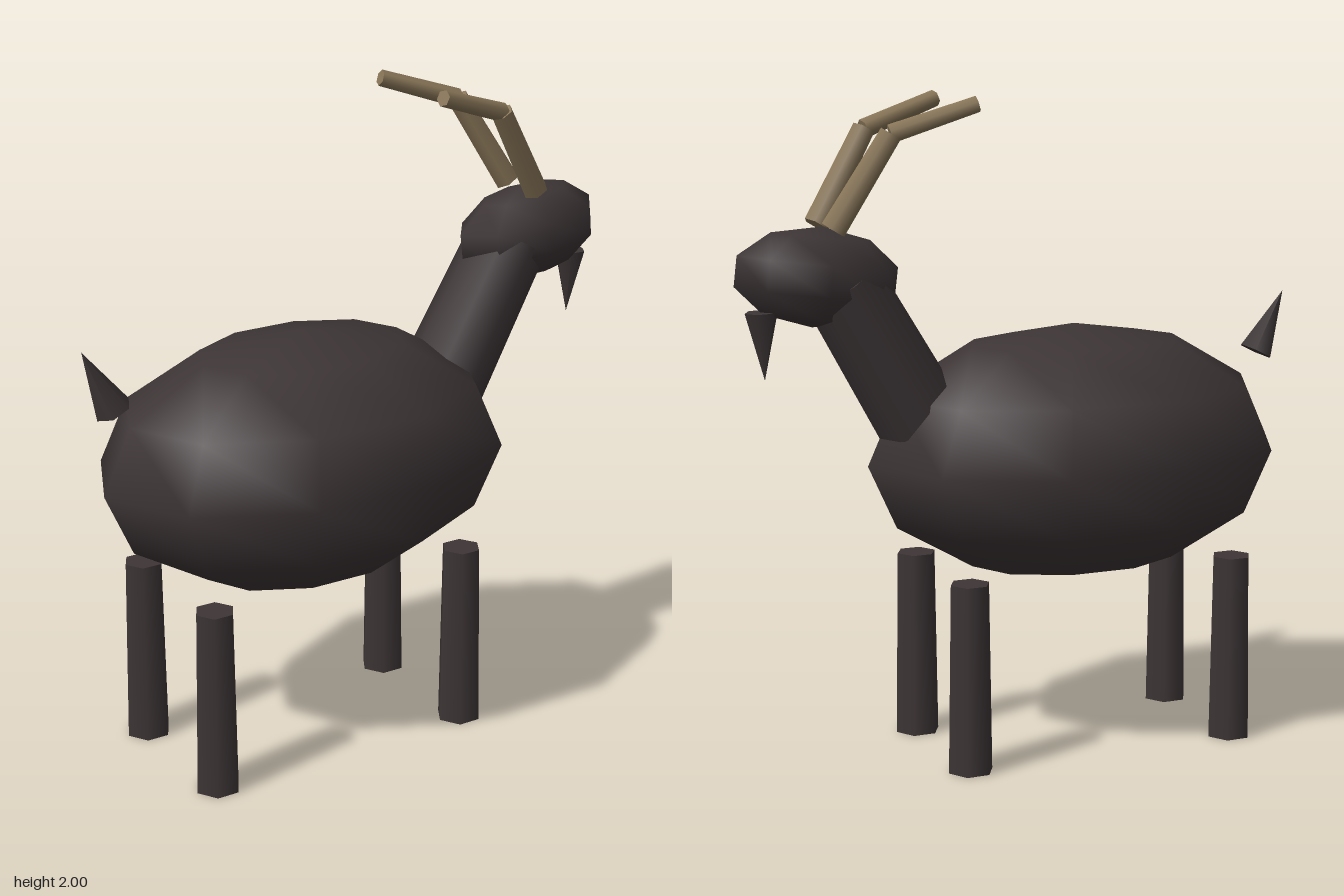
import * as THREE from 'three';

const coat = new THREE.MeshStandardMaterial({ name: 'darkCoat', color: 0x3d3536 });
const hornTan = new THREE.MeshStandardMaterial({ name: 'hornTan', color: 0x8a7759 });

const UP = new THREE.Vector3(0, 1, 0);

export function createModel() {
  const model = new THREE.Group();
  model.name = 'goat';

  // Low-sided ellipsoid
  function ellipsoid(name, centre, radii, around, rows, tilt = 0) {
    const mesh = new THREE.Mesh(new THREE.SphereGeometry(1, around, rows), coat);
    mesh.name = name;
    mesh.position.set(...centre);
    mesh.scale.set(...radii);
    mesh.rotation.z = tilt;
    model.add(mesh);
  }

  // Tapered limb running from point a to point b, with a corner towards x
  function limb(name, a, b, ra, rb, material = coat, sides = 6) {
    const start = new THREE.Vector3(...a), end = new THREE.Vector3(...b);
    const axis = end.clone().sub(start);
    const geometry = new THREE.CylinderGeometry(rb, ra, axis.length(), sides);
    geometry.rotateY(Math.PI / 2);
    const mesh = new THREE.Mesh(geometry, material);
    mesh.name = name;
    mesh.position.copy(start).add(end).multiplyScalar(0.5);
    mesh.quaternion.setFromUnitVectors(UP, axis.normalize());
    model.add(mesh);
  }

  // Trunk, neck and head
  ellipsoid('body', [-0.18, 0.905, 0], [0.67, 0.39, 0.46], 10, 6);
  limb('neck', [0.325, 1.04, 0], [0.57, 1.46, 0], 0.137, 0.125, coat, 8);
  ellipsoid('head', [0.64, 1.478, 0], [0.26, 0.147, 0.139], 8, 5, 0.12);

  // Beard and tail
  limb('beard', [0.81, 1.385, 0], [0.803, 1.185, 0], 0.05, 0);
  limb('tail', [-0.812, 1.167, 0], [-0.905, 1.355, 0], 0.057, 0);

  for (const side of [-1, 1]) {
    // Legs
    limb('frontLeg', [0.255, 0, side * 0.217], [0.255, 0.575, side * 0.217], 0.07, 0.061);
    limb('backLeg', [-0.617, 0, side * 0.217], [-0.617, 0.575, side * 0.217], 0.07, 0.061);
    // Swept-back horns in two pieces
    limb('lowerHorn', [0.614, 1.621, side * 0.073], [0.45, 1.893, side * 0.113], 0.04, 0.035, hornTan);
    limb('upperHorn', [0.452, 1.892, side * 0.113], [0.203, 1.974, side * 0.165], 0.029, 0.025, hornTan);
  }

  return model;
}
